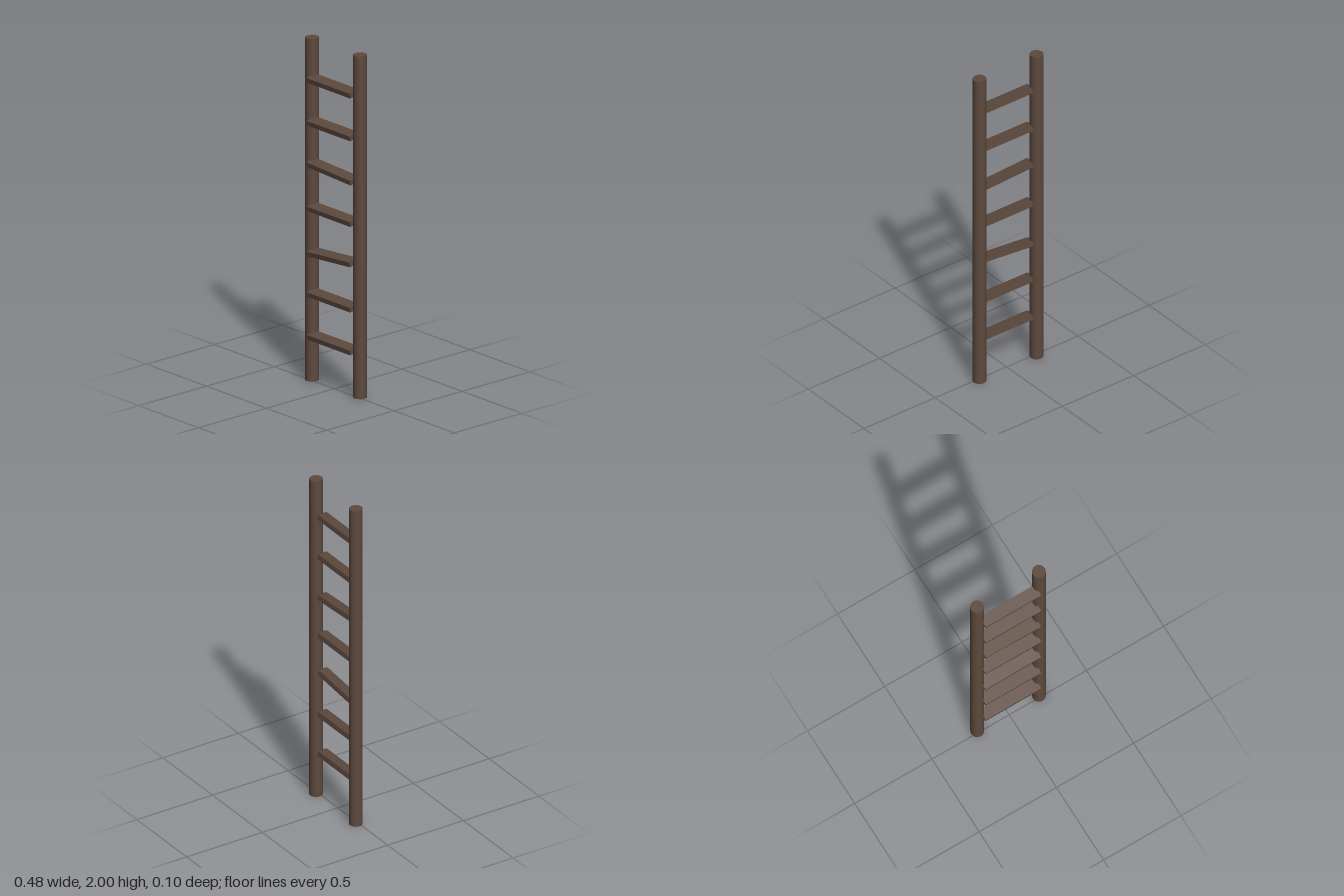
import * as THREE from 'three';

export function createModel() {
  const group = new THREE.Group();
  group.name = 'ladder';
  const wood = new THREE.MeshStandardMaterial({ name: 'dark brown wood', color: 0x5c493d });

  // Two round uprights
  const poleGeometry = new THREE.CylinderGeometry(0.038, 0.038, 2, 32);
  for (const [name, x] of [['leftPole', 0.2], ['rightPole', -0.2]]) {
    const pole = new THREE.Mesh(poleGeometry, wood);
    pole.name = name;
    pole.position.set(x, 1, -0.013);
    group.add(pole);
  }

  // Seven flat rungs, tipped forward; two sit crooked
  const rungGeometry = new THREE.BoxGeometry(0.36, 0.029, 0.07);
  const rolls = [0, 0, 0.085, 0, -0.045, 0, 0];
  rolls.forEach((roll, i) => {
    const rung = new THREE.Mesh(rungGeometry, wood);
    rung.name = `rung${i + 1}`;
    rung.position.set(0, 0.27 + i * 0.25, 0.009);
    rung.rotation.set(0.16, 0, roll);
    group.add(rung);
  });

  return group;
}
